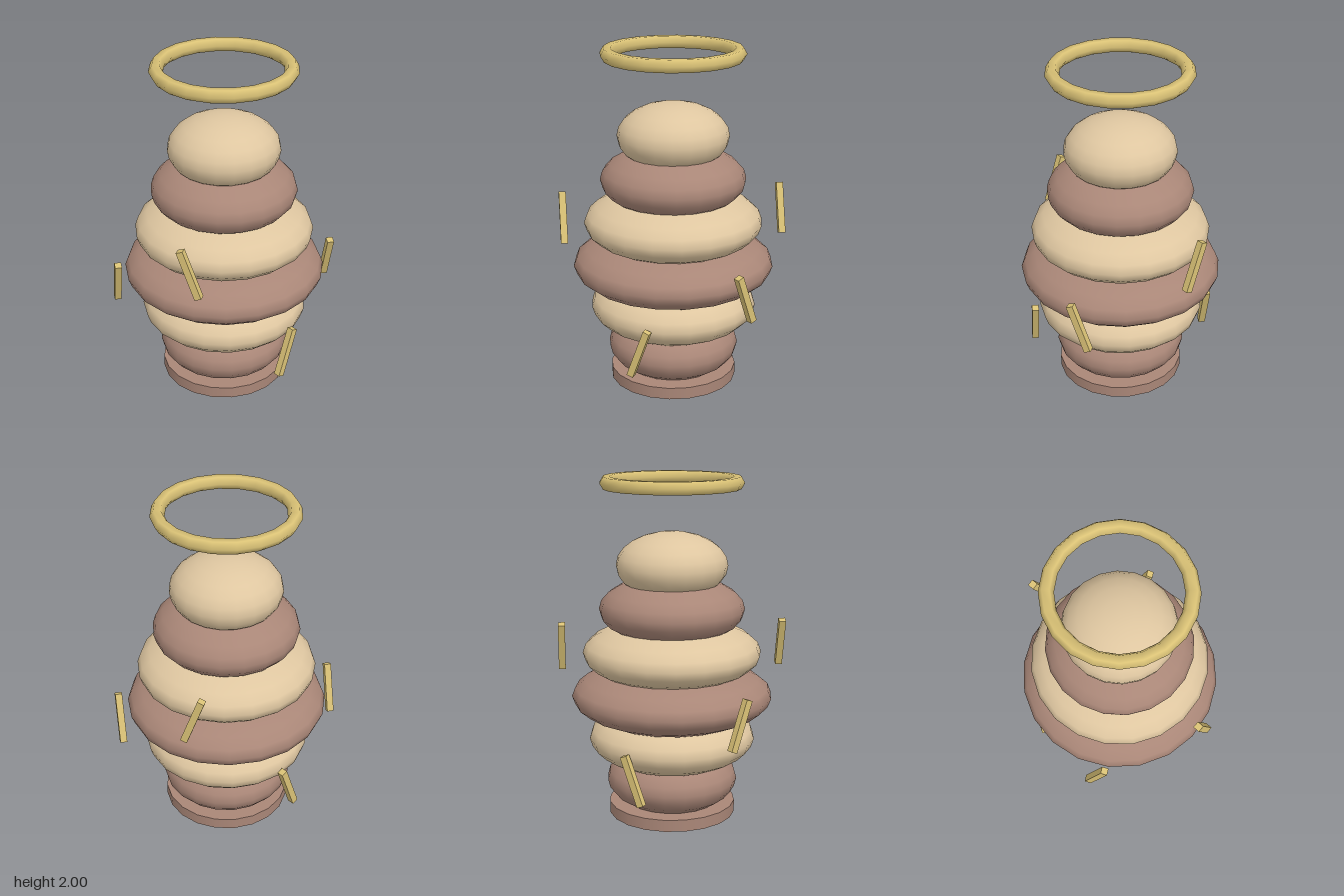
import * as THREE from 'three';

export function createModel() {
  const model = new THREE.Group();
  const cream = new THREE.MeshStandardMaterial({ color: 0xdec6a0 });
  cream.name = 'cream';
  const brown = new THREE.MeshStandardMaterial({ color: 0xa98677 });
  brown.name = 'dusty brown';
  const gold = new THREE.MeshStandardMaterial({ color: 0xdac276 });
  gold.name = 'pale gold';

  const add = (name, geometry, material, x, y, z) => {
    const mesh = new THREE.Mesh(geometry, material);
    mesh.name = name;
    mesh.position.set(x, y, z);
    model.add(mesh);
    return mesh;
  };

  // Round foot
  add('base', new THREE.CylinderGeometry(0.375, 0.375, 0.07, 20), brown, 0, 0.035, 0);

  // Stack of flattened spheres, each turned a little further
  const tierRadii = [0.387, 0.49, 0.59, 0.523, 0.425, 0.325];
  tierRadii.forEach((radius, i) => {
    const tier = add(`tier${i + 1}`, new THREE.SphereGeometry(1, 20, 12),
      i % 2 ? cream : brown, 0, 0.21 + i * 0.256, 0);
    tier.scale.set(radius, 0.195, radius);
    tier.rotation.y = THREE.MathUtils.degToRad(15 * i);
  });

  // Floating ring above the stack
  const halo = add('halo', new THREE.TorusGeometry(0.374, 0.041, 6, 20), gold, 0, 1.9645, 0);
  halo.rotation.x = Math.PI / 2;

  // Six tilted bars floating around the body at three heights
  const levels = [[0.525, 0.347], [0.642, 1.025], [0.642, 0.684]]; // [distance, height]
  const barGeometry = new THREE.BoxGeometry(0.04, 0.3, 0.04);
  for (let i = 0; i < 6; i++) {
    const angle = (i * Math.PI) / 3;
    const [distance, height] = levels[i % 3];
    const bar = add(`bar${i + 1}`, barGeometry, gold,
      distance * Math.cos(angle), height, distance * Math.sin(angle));
    bar.rotation.set(i % 2 ? 0.35 : -0.35, -angle, 0, 'YXZ');
  }

  return model;
}
